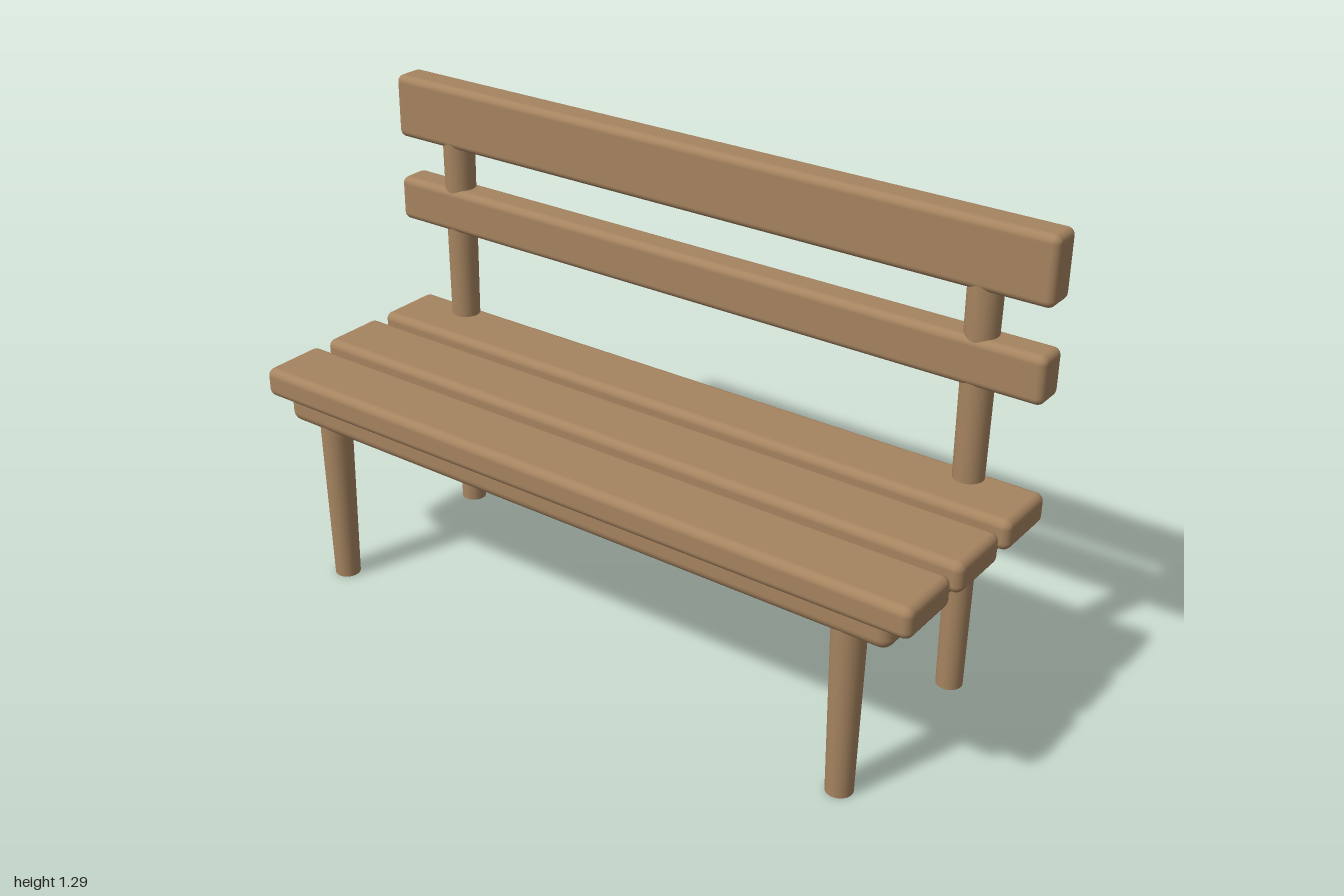
import * as THREE from 'three';
import { RoundedBoxGeometry } from 'three/addons/geometries/RoundedBoxGeometry.js';

export function createModel() {
  const bench = new THREE.Group();
  bench.name = 'bench';
  const wood = new THREE.MeshStandardMaterial({ color: 0xa68460 });
  wood.name = 'wood';

  // Rounded plank given by its width and its y and z extents
  function plank(name, width, y0, y1, z0, z1, radius) {
    const mesh = new THREE.Mesh(new RoundedBoxGeometry(width, y1 - y0, z1 - z0, 4, radius), wood);
    mesh.position.set(0, (y0 + y1) / 2, (z0 + z1) / 2);
    mesh.name = name;
    bench.add(mesh);
  }

  // Round leg, narrower at the foot
  function leg(name, x, z, height, topRadius) {
    const mesh = new THREE.Mesh(new THREE.CylinderGeometry(topRadius, 0.035, height, 32), wood);
    mesh.position.set(x, height / 2, z);
    mesh.name = name;
    bench.add(mesh);
  }

  // Seat: base board and three slats
  plank('seatBase', 1.88, 0.463, 0.553, -0.307, 0.312, 0.03);
  [['frontSeatSlat', 0.236], ['middleSeatSlat', 0.004], ['rearSeatSlat', -0.229]].forEach(([name, z]) =>
    plank(name, 2, 0.528, 0.61, z - 0.096, z + 0.096, 0.022));

  // Backrest slats
  plank('lowerBackSlat', 2, 0.87, 0.996, -0.328, -0.235, 0.02);
  plank('upperBackSlat', 2, 1.115, 1.293, -0.329, -0.236, 0.02);

  // Short front legs and tall rear posts
  for (const [side, x] of [['left', 0.813], ['right', -0.813]]) {
    leg(side + 'FrontLeg', x, 0.262, 0.5, 0.044);
    leg(side + 'RearPost', x, -0.281, 1.2, 0.045);
  }
  return bench;
}
